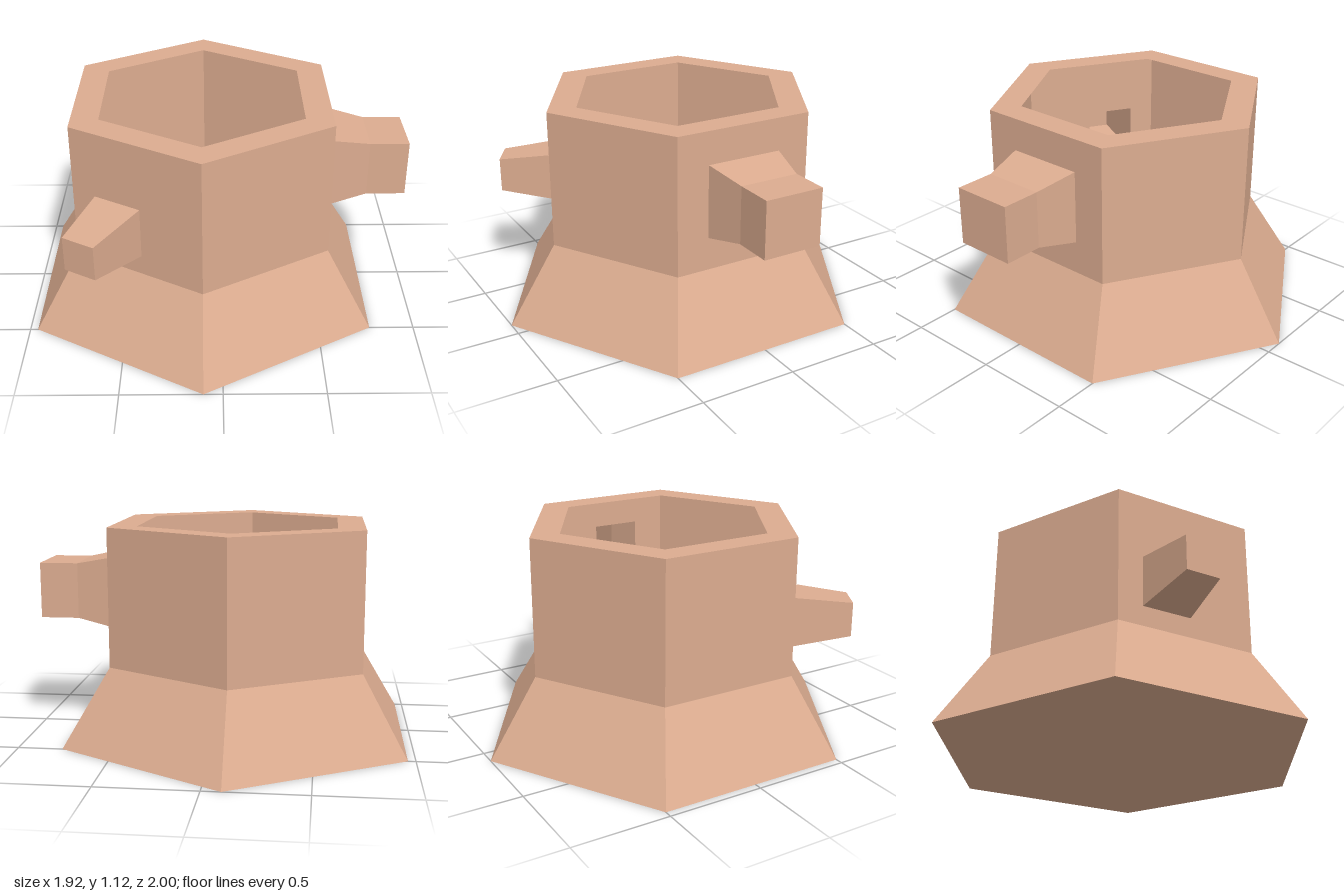
import * as THREE from 'three';

const CX = -0.095;            // axis of the hexagonal body
const BASE_R = 1, WALL_R = 0.74, RIM_R = 0.58;
const SKIRT_Y = 0.4, TOP_Y = 1.115;
const APOTHEM = WALL_R * Math.cos(Math.PI / 6);

const clay = new THREE.MeshStandardMaterial({ color: 0xdcac90, flatShading: true, side: THREE.DoubleSide });
clay.name = 'clay';

function addMesh(parent, name, geometry) {
  const mesh = new THREE.Mesh(geometry, clay);
  mesh.name = name;
  parent.add(mesh);
  return mesh;
}

// Faceted surface of revolution from [radius, height] pairs
function faceted(profile, sides) {
  const points = profile.map(([r, y]) => new THREE.Vector2(r, y));
  const geometry = new THREE.LatheGeometry(points, sides).toNonIndexed();
  geometry.computeVertexNormals();
  return geometry;
}

// Hollow square spout pointing along +z; profile is [half width, distance out]
function spoutGeometry(profile, heightRatio) {
  const last = profile[profile.length - 1];
  const rings = profile.map(([w, d]) => [w * Math.SQRT2, d]);
  const geometry = faceted([...rings, [0, last[1]]], 4);
  geometry.rotateY(Math.PI / 4).scale(1, 1, heightRatio).rotateX(Math.PI / 2);
  geometry.computeVertexNormals();
  return geometry;
}

// Spouts by the wall they grow from: x is the offset along that wall
const spouts = {
  90: { name: 'largeSpout', x: 0, y: 0.758, ratio: 0.94, profile: [[0.2, 0], [0.155, 0.21], [0.155, 0.41]] },
  330: { name: 'smallSpout', x: -0.108, y: 0.637, ratio: 1.02, profile: [[0.13, 0], [0.088, 0.323]] },
};

function rectangle(target, x0, y0, x1, y1) {
  target.moveTo(x0, y0).lineTo(x1, y0).lineTo(x1, y1).lineTo(x0, y1).closePath();
  return target;
}

export function createModel() {
  const model = new THREE.Group();
  model.name = 'hexagonalPot';
  const body = new THREE.Group();
  body.name = 'body';
  body.position.x = CX;
  model.add(body);

  // Floor, flared skirt and rim
  addMesh(body, 'floor', faceted([[0, 0], [BASE_R, 0]], 6));
  addMesh(body, 'skirt', faceted([[BASE_R, 0], [WALL_R, SKIRT_Y]], 6));
  addMesh(body, 'rim', faceted([[WALL_R, TOP_Y], [RIM_R, TOP_Y]], 6));

  // Six thin walls, two of them opening into spouts
  for (let angle = 30; angle < 360; angle += 60) {
    const side = new THREE.Group();
    side.name = 'side' + angle;
    side.rotation.y = THREE.MathUtils.degToRad(angle);
    body.add(side);

    const shape = rectangle(new THREE.Shape(), -WALL_R / 2, SKIRT_Y, WALL_R / 2, TOP_Y);
    const spout = spouts[angle];
    if (spout) {
      const w = spout.profile[0][0], h = w * spout.ratio;
      shape.holes.push(rectangle(new THREE.Path(), spout.x - w, spout.y - h, spout.x + w, spout.y + h));
      addMesh(side, spout.name, spoutGeometry(spout.profile, spout.ratio))
        .position.set(spout.x, spout.y, APOTHEM);
    }
    addMesh(side, 'wall', new THREE.ShapeGeometry(shape)).position.z = APOTHEM;
  }
  return model;
}
